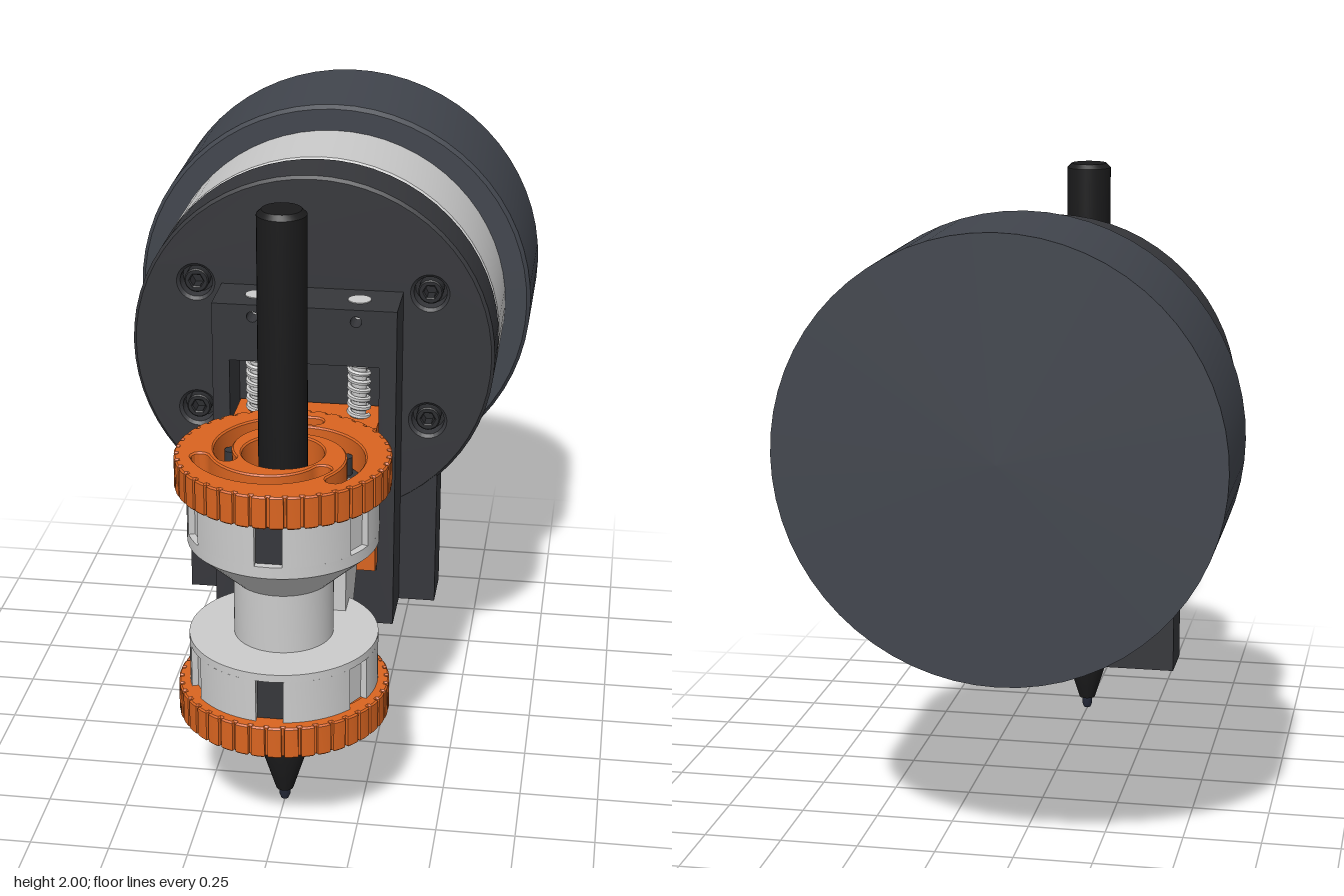
import * as THREE from 'three';
import { toCreasedNormals } from 'three/addons/utils/BufferGeometryUtils.js';

const mat = (color) => new THREE.MeshStandardMaterial({ color });
const GREY = mat(0xcccccc), BODY = mat(0x36373b), MOTOR = mat(0x41454d), PEN = mat(0x1b1b1c);
const ORANGE = mat(0xd96420), JAW = mat(0x36373b), SCREW = mat(0x2b2c2f), NIB = mat(0x232838);
const PEN_Z = 0.635, MOTOR_Y = 1.315, ROD_X = 0.165, ROD_Z = 0.11;
const rad = THREE.MathUtils.degToRad;
const polar = (r, a) => new THREE.Vector2(r * Math.cos(a), r * Math.sin(a));

function add(parent, name, geometry, material, x = 0, y = 0, z = 0) {
  const mesh = new THREE.Mesh(toCreasedNormals(geometry, 0.5), material);
  mesh.name = name;
  mesh.position.set(x, y, z);
  parent.add(mesh);
  return mesh;
}

function lathe(points, segments = 64) {
  return new THREE.LatheGeometry(points.map(([r, y]) => new THREE.Vector2(r, y)), segments);
}

// Shape along z, from z = 0 to depth, with an optional chamfer that keeps the outline size
function extrude(shape, depth, chamfer = 0, curveSegments = 32) {
  const geometry = new THREE.ExtrudeGeometry(shape, {
    depth: depth - 2 * chamfer, curveSegments, bevelEnabled: chamfer > 0, bevelSegments: 1,
    bevelSize: chamfer, bevelThickness: chamfer, bevelOffset: -chamfer,
  });
  return geometry.translate(0, 0, chamfer);
}

// Plan shape (x, z) extruded downwards from y = 0
const extrudePlan = (...args) => extrude(...args).rotateX(Math.PI / 2);

const polygon = (points) => new THREE.Shape(points.map(([x, y]) => new THREE.Vector2(x, y)));
const box = (x0, x1, y0, y1) => polygon([[x0, y0], [x1, y0], [x1, y1], [x0, y1]]);
const circle = (r, x = 0, y = 0) => new THREE.Shape().absarc(x, y, r, 0, Math.PI * 2);

// Curved slot whose radius shrinks along its sweep, with rounded ends
function spiralSlot(turn) {
  const centre = [], half = 0.028, steps = 18;
  for (let i = 0; i <= steps; i++) {
    const t = i / steps;
    centre.push([THREE.MathUtils.lerp(0.252, 0.172, t), rad(284 - 125 * t) + turn]);
  }
  const cap = ([r, a], dir) => [1, 2, 3, 4, 5].map((i) => {
    const q = (i / 6) * Math.PI;
    return polar(r + half * Math.cos(q), a + (dir * half * Math.sin(q)) / r);
  });
  const outer = centre.map(([r, a]) => polar(r + half, a));
  const inner = centre.map(([r, a]) => polar(r - half, a)).reverse();
  return new THREE.Path([...outer, ...cap(centre[steps], -1), ...inner, ...cap(centre[0], 1).reverse()]);
}

// Knurled scroll ring
function scrollRing() {
  const points = [], grooves = 40, step = (Math.PI * 2) / grooves;
  for (let i = 0; i < grooves; i++) {
    for (const [f, r] of [[0, 0.33], [0.4, 0.331], [0.8, 0.33], [0.83, 0.32], [0.97, 0.32]]) {
      points.push(polar(r, (i + f) * step));
    }
  }
  const shape = new THREE.Shape(points);
  shape.holes.push(circle(0.125));
  for (let k = 0; k < 3; k++) shape.holes.push(spiralSlot((k * Math.PI * 2) / 3));
  return extrudePlan(shape, 0.105, 0.005);
}

// One third of the drum wall between two jaw channels, with a shallow flat in its middle
function drumSector(turn) {
  const points = [], ro = 0.295, ri = 0.125, half = 0.042;
  const arc = (r, a, b) => {
    for (let i = 0; i <= 10; i++) points.push(polar(r, turn + THREE.MathUtils.lerp(a, b, i / 10)));
  };
  const third = (Math.PI * 2) / 3, mid = third / 2, d = Math.asin(half / ro), di = Math.asin(half / ri);
  arc(ro, d, mid - d);
  points.push(polar(0.275, turn + mid - d), polar(0.275, turn + mid + d));
  arc(ro, mid + d, third - d);
  arc(ri, third - di, di);
  return new THREE.Shape(points);
}

// Chuck head: ring on top at y = 0.105, drum wall and jaws below y = 0
function chuckHead(name) {
  const head = new THREE.Group();
  head.name = name;
  add(head, 'scrollRing', scrollRing(), ORANGE, 0, 0.105, 0);
  const jawShape = polygon([[0.074, -0.012], [0.12, -0.04], [0.275, -0.04], [0.275, 0.04], [0.12, 0.04], [0.074, 0.012]]);
  for (let k = 0; k < 3; k++) {
    const a = Math.PI / 2 + (k * Math.PI * 2) / 3;
    add(head, 'drumWall', extrudePlan(drumSector(a), 0.14), GREY);
    const jaw = add(head, 'jaw', extrudePlan(jawShape, 0.135), JAW, 0, -0.003, 0);
    jaw.rotation.y = -a;
    const peg = polar(0.204, a);
    add(head, 'jawPeg', new THREE.CylinderGeometry(0.022, 0.022, 0.06, 16), JAW, peg.x, 0.025, peg.y);
  }
  return head;
}

function penHolder() {
  const holder = new THREE.Group();
  holder.name = 'penHolder';
  holder.position.z = PEN_Z;
  const top = chuckHead('upperChuck'), bottom = chuckHead('lowerChuck');
  top.position.y = 1.127;
  bottom.position.y = 0.46;
  bottom.rotation.z = Math.PI;
  holder.add(top, bottom);
  // Hollow neck and flared core between the two drum walls
  add(holder, 'holderCore', lathe([[0.125, 0.6], [0.295, 0.6], [0.295, 0.625], [0.155, 0.625], [0.155, 0.82],
    [0.295, 0.95], [0.295, 0.987], [0.125, 0.987], [0.125, 0.6]]), GREY);
  add(holder, 'penBody', lathe([[0, 0.05], [0.028, 0.05], [0.075, 0.2], [0.075, 1.985], [0.06, 2], [0, 2]], 32), PEN);
  add(holder, 'penNib', lathe([[0, 0.005], [0.012, 0.01], [0.018, 0.025], [0.018, 0.06]], 20), NIB);
  return holder;
}

function slider() {
  const group = new THREE.Group();
  group.name = 'slider';
  add(group, 'sliderPlate', extrude(box(-0.235, 0.235, 0.632, 1.14), 0.185), ORANGE, 0, 0, 0.03);
  const dovetail = polygon([[-0.1, 0.2], [0.1, 0.2], [0.138, 0.27], [-0.138, 0.27]]);
  add(group, 'dovetail', extrudePlan(dovetail, 0.508), ORANGE, 0, 1.14, 0);

  // Bracket profiles are drawn as (-z, y) and extruded across x
  const bracket = (name, points, x0, x1) =>
    add(group, name, extrude(polygon(points.map(([z, y]) => [-z, y])), x1 - x0).rotateY(Math.PI / 2), GREY, x0);
  bracket('bracketWeb', [[0.275, 1.105], [0.275, 0.575], [0.39, 0.462], [0.4, 0.62], [0.49, 0.62],
    [0.49, 0.82], [0.41, 0.95], [0.4, 1.105]], -0.175, 0.175);
  for (const x0 of [-0.175, 0.14]) {
    bracket('bracketCheek', [[0.22, 1.105], [0.22, 0.63], [0.275, 0.575], [0.275, 1.105]], x0, x0 + 0.035);
  }
  return group;
}

function housing() {
  const group = new THREE.Group();
  group.name = 'slideHousing';
  const frame = box(-0.295, 0.295, 0.435, 1.535);
  frame.holes.push(box(-0.24, 0.24, 0.63, 1.345));
  for (const s of [-1, 1]) frame.holes.push(circle(0.018, s * ROD_X, 1.495));
  add(group, 'housingFrame', extrude(frame, 0.185), BODY, 0, 0, 0.02);
  add(group, 'mountBlock', new THREE.BoxGeometry(0.83, 0.465, 0.16), BODY, 0, 0.6675, -0.06);

  // Guide rods with return springs
  const turns = 7, points = [];
  for (let i = 0; i <= turns * 12; i++) {
    const p = polar(0.031, (i / 12) * Math.PI * 2);
    points.push(new THREE.Vector3(p.x, 1.14 + (0.205 * i) / (turns * 12), p.y));
  }
  const coil = new THREE.TubeGeometry(new THREE.CatmullRomCurve3(points), turns * 16, 0.009, 6);
  for (const s of [-1, 1]) {
    const x = s * ROD_X;
    add(group, 'rodEnd', new THREE.CylinderGeometry(0.037, 0.037, 0.05, 24), GREY, x, 1.513, ROD_Z);
    add(group, 'guideRod', new THREE.CylinderGeometry(0.024, 0.024, 1.09, 20), GREY, x, 0.978, ROD_Z);
    add(group, 'spring', coil, GREY, x, 0, ROD_Z);
  }
  return group;
}

function motor() {
  const group = new THREE.Group();
  group.name = 'motor';
  group.position.y = MOTOR_Y;
  // Turned parts: profile height becomes z
  const turned = (name, points, material) => add(group, name, lathe(points, 64).rotateX(Math.PI / 2), material);
  turned('motorCan', [[0, -0.97], [0.675, -0.97], [0.675, -0.515], [0.663, -0.5], [0, -0.5]], MOTOR);
  turned('gearCase', [[0, -0.5], [0.59, -0.5], [0.592, -0.19], [0.585, -0.182], [0, -0.182]], GREY);
  turned('spacer', [[0, -0.19], [0.5, -0.19], [0.5, -0.16], [0, -0.16]], BODY);

  // Front flange with four counterbored cap screws
  const flange = circle(0.592), corners = [[-0.38, 0.22], [0.38, 0.22], [-0.38, -0.22], [0.38, -0.22]];
  for (const [x, y] of corners) flange.holes.push(circle(0.053, x, y));
  add(group, 'flange', extrude(flange, 0.197, 0.01), BODY, 0, 0, -0.176);
  const head = circle(0.04);
  head.holes.push(new THREE.Path([0, 1, 2, 3, 4, 5].map((i) => polar(0.022, (i * Math.PI) / 3))));
  for (const [x, y] of corners) {
    add(group, 'screwHead', extrude(head, 0.06, 0.004, 12), SCREW, x, y, -0.05);
    add(group, 'screwSeat', new THREE.CylinderGeometry(0.053, 0.053, 0.12, 24).rotateX(Math.PI / 2), SCREW, x, y, -0.1);
  }
  return group;
}

export function createModel() {
  const model = new THREE.Group();
  model.name = 'penPlotterHead';
  model.add(motor(), housing(), slider(), penHolder());
  return model;
}
